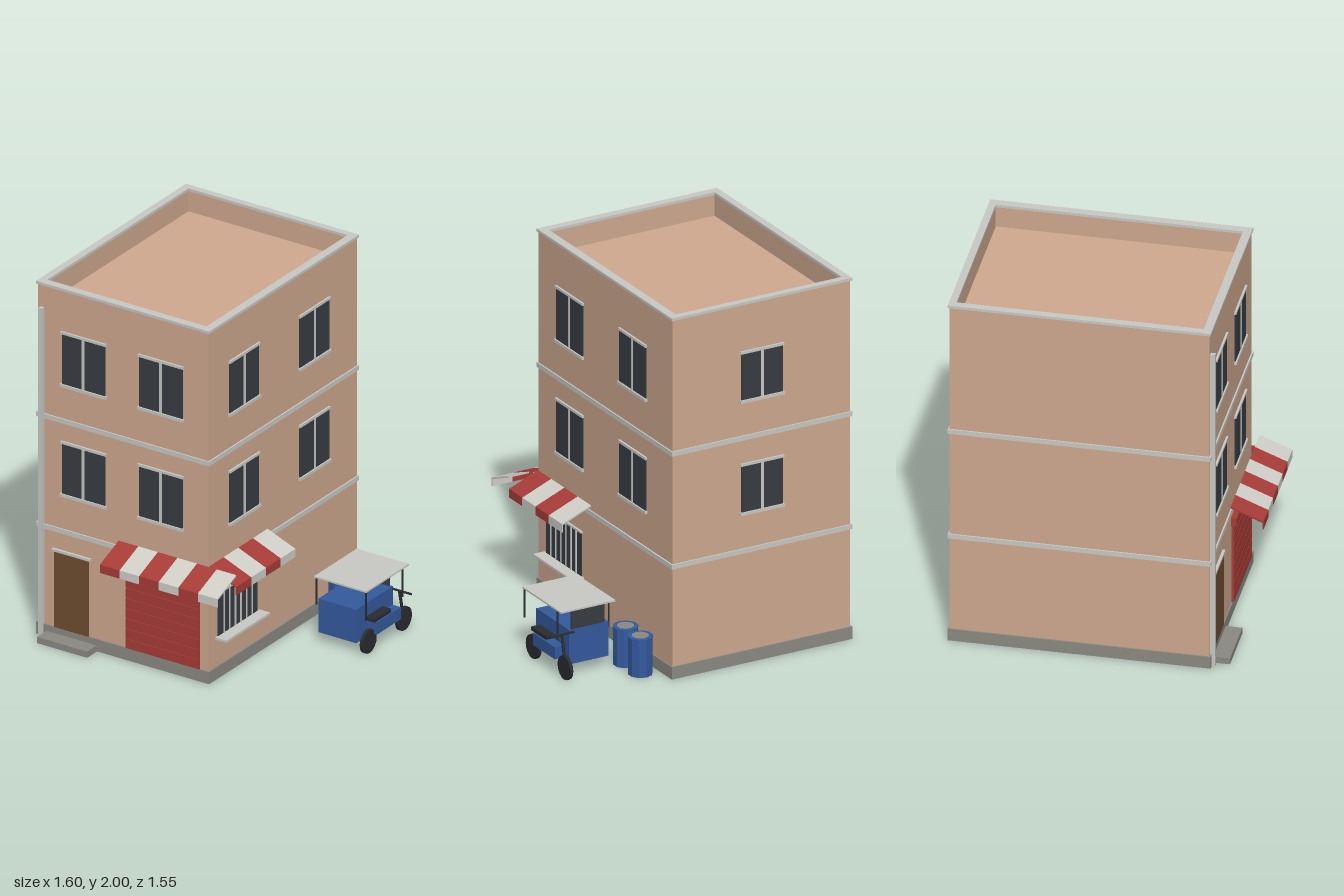
import * as THREE from 'three';

const mat = (name, color) => {
  const m = new THREE.MeshStandardMaterial({ color });
  m.name = name;
  return m;
};

export function createModel() {
  const wallMat = mat('terracotta plaster', 0xcfa98f);
  const trim = mat('light trim', 0xc9cac4);
  const stone = mat('grey stone', 0x8b8a82);
  const glass = mat('dark glass', 0x383d43);
  const wood = mat('brown wood', 0x6f4c31);
  const red = mat('red paint', 0xa83c38);
  const cream = mat('awning white', 0xd0cfc8);
  const blue = mat('blue paint', 0x345a9e);
  const black = mat('black rubber', 0x2a2c30);

  const root = new THREE.Group();
  root.name = 'cornerBuilding';
  const group = (name, parent = root) => {
    const g = new THREE.Group();
    g.name = name;
    parent.add(g);
    return g;
  };
  const add = (name, geometry, material, parent) => {
    const m = new THREE.Mesh(geometry, material);
    m.name = name;
    parent.add(m);
    return m;
  };
  // box given by its extents on each axis
  const box = (name, x0, x1, y0, y1, z0, z1, material, parent = root) => {
    const m = add(name, new THREE.BoxGeometry(x1 - x0, y1 - y0, z1 - z0), material, parent);
    m.position.set((x0 + x1) / 2, (y0 + y1) / 2, (z0 + z1) / 2);
    return m;
  };
  // rod between two points
  const rod = (name, a, b, r, material, parent) => {
    const p = new THREE.Vector3(...a), q = new THREE.Vector3(...b);
    const d = q.clone().sub(p);
    const m = add(name, new THREE.CylinderGeometry(r, r, d.length(), 8), material, parent);
    m.position.copy(p).add(q).multiplyScalar(0.5);
    m.quaternion.setFromUnitVectors(new THREE.Vector3(0, 1, 0), d.normalize());
    return m;
  };

  // Building shell
  const X0 = -0.793, X1 = 0.256, Z0 = -0.757, Z1 = 0.597, E = 0.008;
  box('walls', X0, X1, 0, 1.87, Z0, Z1, wallMat);
  box('plinth', X0 - E, X1 + E, 0.002, 0.07, Z0 - E, Z1 + E, stone);
  [0.61, 1.235].forEach((y) => box('floorBand', X0 - E, X1 + E, y, y + 0.026, Z0 - E, Z1 + E, trim));

  // Parapet and coping, both open rectangles
  const ring = (name, e, y0, y1, material) => {
    const s = new THREE.Shape([
      [X0 - e, -Z1 - e], [X1 + e, -Z1 - e], [X1 + e, -Z0 + e], [X0 - e, -Z0 + e],
    ].map((p) => new THREE.Vector2(...p)));
    s.holes.push(new THREE.Path([
      [-0.76, -0.56], [-0.76, 0.727], [0.218, 0.727], [0.218, -0.56],
    ].map((p) => new THREE.Vector2(...p))));
    const g = new THREE.ExtrudeGeometry(s, { depth: y1 - y0, bevelEnabled: false });
    const m = add(name, g.rotateX(-Math.PI / 2), material, root);
    m.position.y = y0;
  };
  ring('parapet', 0, 1.87, 1.985, wallMat);
  ring('coping', E, 1.985, 2, trim);

  // Windows are built facing +z around their sill centre, then turned to a wall
  const windowAt = (x, y, z, turn, w, h) => {
    const g = group('window');
    box('pane', -w / 2, w / 2, 0, h, 0, 0.006, glass, g);
    box('mullion', -0.008, 0.008, 0, h, 0, 0.009, trim, g);
    box('sill', -w / 2 - 0.008, w / 2 + 0.008, -0.016, 0, 0, 0.014, trim, g);
    box('lintel', -w / 2 - 0.006, w / 2 + 0.006, h, h + 0.014, 0, 0.011, trim, g);
    g.position.set(x, y, z);
    g.rotation.y = turn;
  };
  [0.838, 1.459].forEach((y) => {
    [-0.51, -0.035].forEach((x) => windowAt(x, y, Z1, 0, 0.266, 0.282));
    [0.278, -0.362].forEach((z) => windowAt(X1, y, z, Math.PI / 2, 0.266, 0.282));
    windowAt(-0.27, y, Z0, Math.PI, 0.245, 0.255);
  });

  // Barred shop window with a deep counter sill
  const shop = group('shopWindow');
  box('pane', X1, X1 + 0.004, 0.238, 0.477, 0.156, 0.516, glass, shop);
  box('lintel', X1, X1 + 0.012, 0.477, 0.488, 0.15, 0.522, trim, shop);
  box('counter', X1, 0.325, 0.225, 0.238, 0.138, 0.536, trim, shop);
  for (let i = 1; i < 7; i++) {
    const z = 0.156 + i * 0.0514;
    box('bar', X1, X1 + 0.009, 0.238, 0.477, z - 0.004, z + 0.004, trim, shop);
  }

  // Door, step and downpipe
  box('door', -0.69, -0.478, 0.07, 0.5, Z1, Z1 + 0.009, wood);
  box('doorLintel', -0.7, -0.465, 0.5, 0.514, Z1, Z1 + 0.015, trim);
  box('doorStep', -0.735, -0.427, 0, 0.035, Z1, 0.692, stone);
  box('downpipe', -0.775, -0.754, 0, 1.86, Z1, 0.622, trim);

  // Roller shutter with slats and its housing
  const shutter = group('rollerShutter');
  box('backing', -0.246, 0.204, 0.07, 0.53, Z1, Z1 + 0.009, red, shutter);
  const pitch = 0.46 / 8;
  for (let i = 0; i < 8; i++) {
    const y = 0.07 + i * pitch;
    box('slat', -0.246, 0.204, y + 0.003, y + pitch - 0.003, Z1, Z1 + 0.014, red, shutter);
  }
  box('housing', -0.26, 0.22, 0.53, 0.575, Z1, 0.627, red, shutter);

  // Striped awnings: a sloping sheet with a hanging front edge
  const profile = new THREE.Shape([
    [0, 0.657], [0.165, 0.59], [0.165, 0.55], [0.171, 0.55], [0.171, 0.597], [0, 0.665],
  ].map((p) => new THREE.Vector2(...p)));
  const awning = (name, n, w, colours) => {
    const g = group(name);
    const geo = new THREE.ExtrudeGeometry(profile, { depth: w, bevelEnabled: false });
    for (let i = 0; i < n; i++) add('stripe', geo, colours[i % 2], g).position.z = i * w;
    return g;
  };
  const frontAwning = awning('frontAwning', 6, 0.1205, [cream, red]);
  frontAwning.rotation.y = -Math.PI / 2;
  frontAwning.position.set(0.43, 0, 0.603);
  awning('sideAwning', 4, 0.134, [cream, red]).position.set(0.259, 0, 0.063);

  // Barrels
  [-0.607, -0.457].forEach((z) => {
    const g = group('barrel');
    g.position.set(0.358, 0, z);
    const drum = (name, r, y0, y1, material) => {
      const geo = new THREE.CylinderGeometry(r, r, y1 - y0, 10).toNonIndexed();
      geo.computeVertexNormals();
      add(name, geo, material, g).position.y = (y0 + y1) / 2;
    };
    drum('drum', 0.064, 0, 0.2, blue);
    drum('rim', 0.067, 0.2, 0.21, blue);
    drum('lid', 0.045, 0.2, 0.212, stone);
  });

  // Motorbike with a covered sidecar
  const bike = group('motorbike');
  const wheel = (name, x, z, r) => {
    const m = add(name, new THREE.CylinderGeometry(r, r, 0.018, 16), black, bike);
    m.rotation.z = Math.PI / 2;
    m.position.set(x, r, z);
  };
  wheel('frontWheel', 0.727, -0.482, 0.065);
  wheel('rearWheel', 0.727, -0.16, 0.065);
  wheel('sidecarWheel', 0.445, -0.28, 0.053);
  box('tank', 0.7, 0.754, 0.093, 0.16, -0.42, -0.2, blue, bike);
  box('seat', 0.7, 0.754, 0.168, 0.188, -0.33, -0.18, black, bike);
  box('seatPost', 0.72, 0.734, 0.16, 0.168, -0.31, -0.2, black, bike);
  rod('fork', [0.727, 0.065, -0.482], [0.727, 0.237, -0.445], 0.008, black, bike);
  rod('handlebar', [0.655, 0.235, -0.447], [0.8, 0.235, -0.447], 0.006, black, bike);

  const sidecar = group('sidecar');
  box('tub', 0.452, 0.685, 0.06, 0.25, -0.447, -0.114, blue, sidecar);
  box('windscreen', 0.474, 0.67, 0.25, 0.357, -0.445, -0.436, glass, sidecar);
  box('canopy', 0.436, 0.757, 0.37, 0.379, -0.488, -0.098, trim, sidecar);
  [-0.105, -0.44].forEach((z) => {
    rod('canopyPole', [0.447, 0.22, z], [0.447, 0.37, z], 0.005, black, sidecar);
    rod('canopyPole', [0.75, 0.21, z], [0.75, 0.37, z], 0.005, black, sidecar);
  });

  return root;
}
